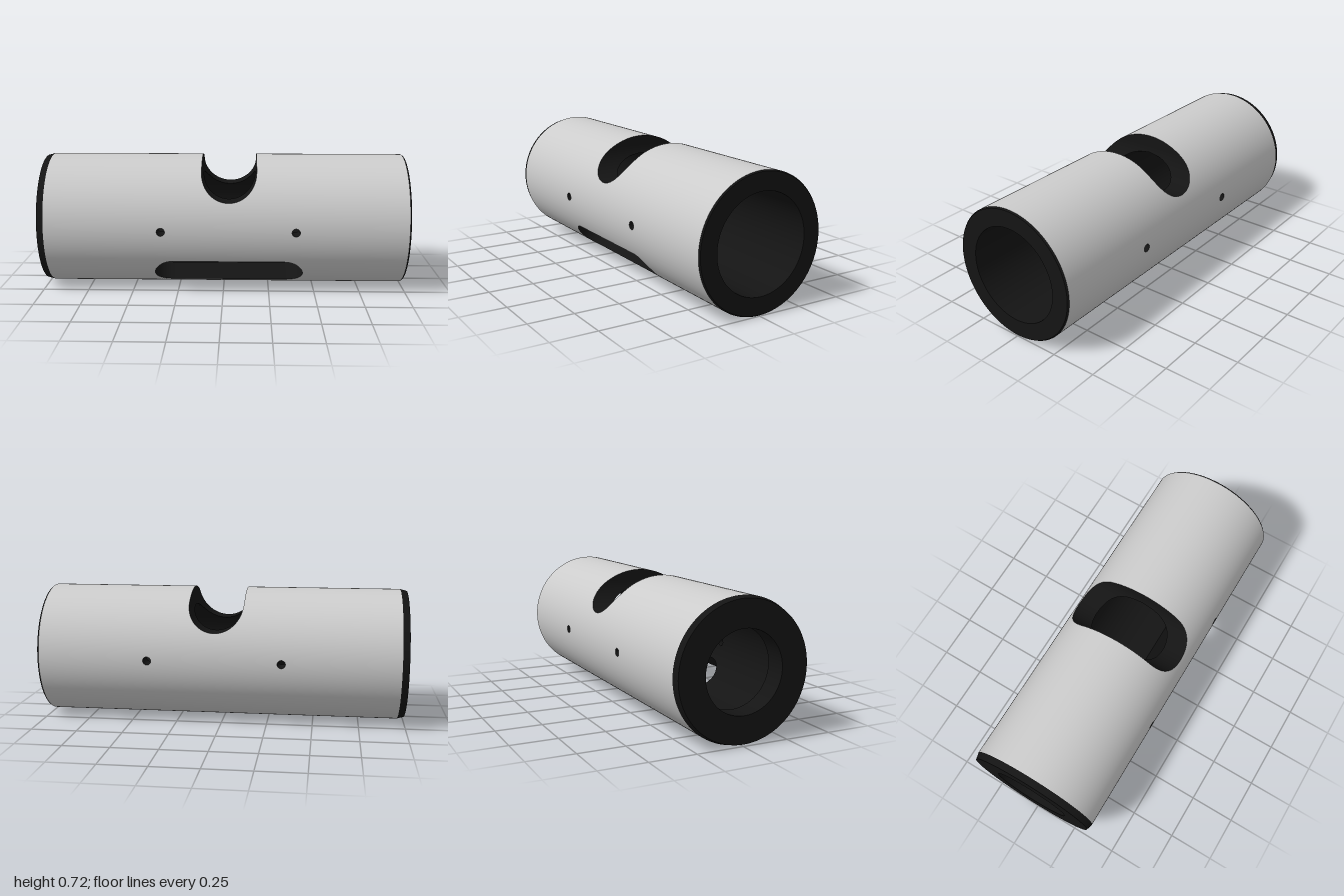
import * as THREE from 'three';
import { mergeGeometries } from 'three/addons/utils/BufferGeometryUtils.js';

const R = 0.362, BORE = 0.262, LIP = 0.21;
const OUT_X = [-0.963, 0.992], IN_X = [-0.88, 1];
const rad = THREE.MathUtils.degToRad;
const polar = (x, r, a) => [x, r * Math.sin(a), r * Math.cos(a)];

// Surface through rows of points; radial = +1 / -1 gives smooth normals away from / towards the axis
function grid(rows, radial = 0) {
  const n = rows[0].length, pos = rows.flat(2), index = [];
  for (let i = 0; i < rows.length - 1; i++) {
    for (let j = 0; j < n - 1; j++) {
      const a = i * n + j, b = a + n;
      index.push(a, b, a + 1, b, b + 1, a + 1);
    }
  }
  const g = new THREE.BufferGeometry();
  g.setAttribute('position', new THREE.Float32BufferAttribute(pos, 3));
  g.setIndex(index);
  if (radial) {
    const normals = rows.flat().flatMap(([, y, z]) => {
      const l = Math.hypot(y, z) * radial;
      return [0, y / l, z / l];
    });
    g.setAttribute('normal', new THREE.Float32BufferAttribute(normals, 3));
  } else g.computeVertexNormals();
  return g;
}

// Radially cut opening with round ends: half angle covered at x on radius r
const slot = (x, length, w) => ({
  x, length,
  half: (px, r) => {
    const d = Math.max(0, Math.abs(px - x) - (length / 2 - w));
    return Math.asin(Math.sqrt(Math.max(0, w * w - d * d)) / r);
  },
  inner: () => BORE,
});

// Round-bottomed notch cut straight across the top
const notchFloor = (x) => 0.302 - Math.sqrt(Math.max(0, 0.15 ** 2 - (x - 0.03) ** 2));
const notch = {
  x: 0.03, length: 0.3,
  half: (x, r) => Math.acos(Math.min(1, notchFloor(x) / r)),
  inner: (x) => Math.max(BORE, notchFloor(x)),
};

const pinHoles = [slot(-0.333, 0.044, 0.022), slot(0.39, 0.044, 0.022)];

// Angular sectors of the tube, each centred on its openings (0 = front, 90 = top)
const sectors = [
  { name: 'top', mid: 90, span: 80, cuts: [notch] },
  { name: 'front', mid: 0, span: 10, cuts: pinHoles },
  { name: 'back', mid: 180, span: 10, cuts: pinHoles },
  { name: 'lowerFront', mid: -45, span: 35, cuts: [slot(0.03, 0.81, 0.101)] },
  { name: 'lowerBack', mid: -125, span: 45, cuts: [] },
];

// Stations along one cut; k opens and closes the square ends of a cut
function stations(cut) {
  const list = [], N = 48;
  const at = (t) => cut.x - Math.cos(Math.PI * t) * cut.length / 2;
  for (let k = 0; k < 1; k += 0.125) list.push({ x: at(0), k, cut });
  for (let i = 0; i <= N; i++) list.push({ x: at(i / N), k: 1, cut });
  for (let k = 0.875; k >= 0; k -= 0.125) list.push({ x: at(1), k, cut });
  return list;
}

// Tube skin on both sides of the openings of a sector
function skin({ mid, span, cuts }, r, [x0, x1], dir) {
  const cols = [{ x: x0, k: 0 }, ...cuts.flatMap(stations), { x: x1, k: 0 }];
  const n = Math.ceil(span / 2);
  return [-1, 1].map((side) => {
    const rows = cols.map(({ x, k, cut }) => {
      const half = cut ? k * cut.half(x, r) : 0;
      const row = [];
      for (let j = 0; j <= n; j++) {
        const off = THREE.MathUtils.lerp(half, rad(span), j / n);
        row.push(polar(x, r, rad(mid) + side * off));
      }
      return side * dir > 0 ? row : row.reverse();
    });
    return grid(rows, dir);
  });
}

// Cut faces between outer skin and bore
function cutWalls({ mid, cuts }) {
  return cuts.flatMap((cut) => [-1, 1].map((side) => grid(stations(cut).map(({ x, k }) => {
    const ri = cut.inner(x);
    return [
      polar(x, R, rad(mid) + side * k * cut.half(x, R)),
      polar(x, ri, rad(mid) + side * cut.half(x, ri)),
    ];
  }))));
}

// Turned rings with sharp edges, profile given as [radius, x]
function turned(profile) {
  const parts = profile.slice(1).map((p, i) => new THREE.LatheGeometry(
    [new THREE.Vector2(...profile[i]), new THREE.Vector2(...p)], 180));
  return mergeGeometries(parts).rotateZ(-Math.PI / 2);
}

export function createModel() {
  const grey = new THREE.MeshStandardMaterial({ color: 0xcccccc });
  const dark = new THREE.MeshStandardMaterial({ color: 0x141414 });
  const darkThin = new THREE.MeshStandardMaterial({ color: 0x141414, side: THREE.DoubleSide });

  const tube = new THREE.Group();
  tube.name = 'tube';
  tube.position.y = 0.363;
  const add = (name, geometry, material) => {
    const mesh = new THREE.Mesh(geometry, material);
    mesh.name = name;
    tube.add(mesh);
  };

  add('outerSkin', mergeGeometries(sectors.flatMap((s) => skin(s, R, OUT_X, 1))), grey);
  add('bore', mergeGeometries(sectors.flatMap((s) => skin(s, BORE, IN_X, -1))), dark);
  for (const s of sectors) {
    if (s.cuts.length) add(s.name + 'CutWalls', mergeGeometries(cutWalls(s)), darkThin);
  }

  // Chamfered end with an inner lip, and the open end
  add('lipEnd', turned([[BORE, -0.88], [LIP, -0.88], [LIP, -1], [0.352, -1], [R, -0.963]]), dark);
  add('openEnd', turned([[R, 0.992], [0.356, 1], [BORE, 1]]), dark);

  const model = new THREE.Group();
  model.name = 'slottedTube';
  model.add(tube);
  return model;
}
